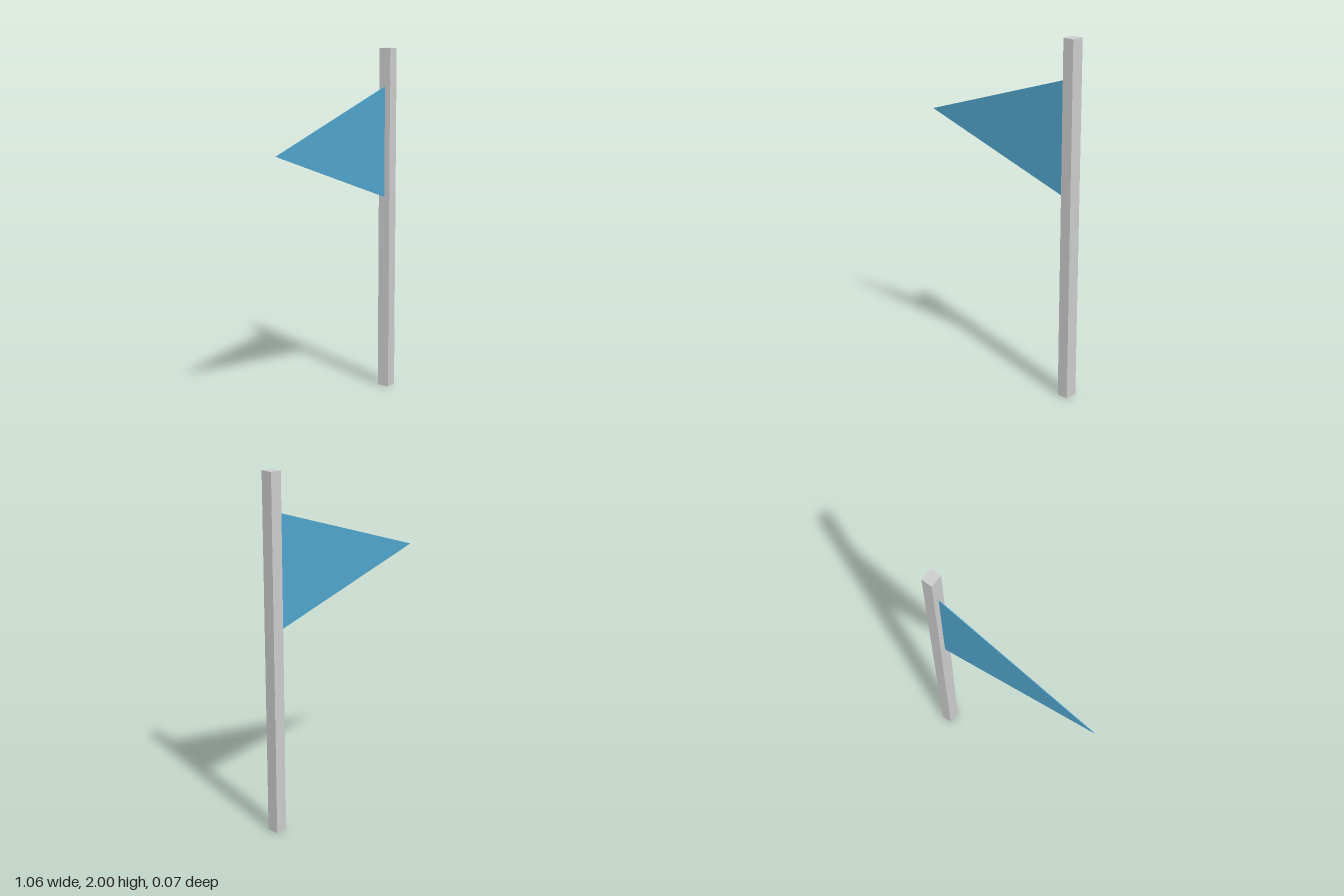
import * as THREE from 'three';

export function createModel() {
  const group = new THREE.Group();
  const grey = new THREE.MeshStandardMaterial({ color: 0xcccccc });
  const blue = new THREE.MeshStandardMaterial({ color: 0x50a4cc });

  // Square pole
  const poleX = 0.497, poleWidth = 0.065;
  const pole = new THREE.Mesh(new THREE.BoxGeometry(poleWidth, 2, 0.074), grey);
  pole.name = 'pole';
  pole.position.set(poleX, 1, 0);
  group.add(pole);

  // Thin triangular pennant, pointing away from the pole
  const edgeX = poleX - poleWidth / 2, thickness = 0.004;
  const outline = new THREE.Shape([
    new THREE.Vector2(edgeX, 1.14),
    new THREE.Vector2(edgeX, 1.78),
    new THREE.Vector2(-0.529, 1.46),
  ]);
  const cloth = new THREE.ExtrudeGeometry(outline, { depth: thickness, bevelEnabled: false });
  cloth.translate(0, 0, -thickness / 2);
  const pennant = new THREE.Mesh(cloth, blue);
  pennant.name = 'pennant';
  group.add(pennant);

  return group;
}
